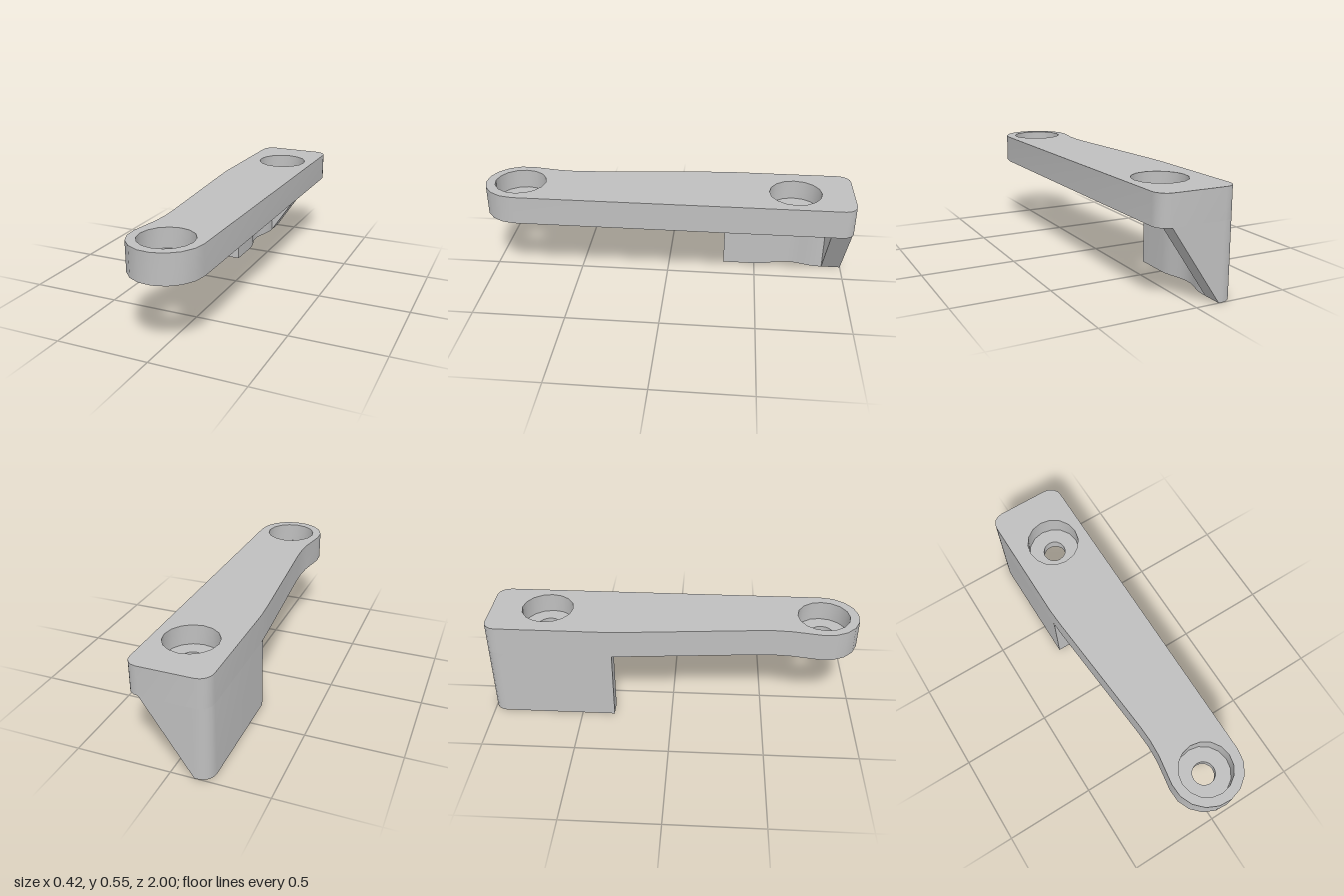
import * as THREE from 'three';
import { mergeGeometries, toCreasedNormals } from 'three/addons/utils/BufferGeometryUtils.js';

const PLATE_BOTTOM = 0.392, BORE_FLOOR = 0.443, PLATE_TOP = 0.548;
const LEFT = 0.207, RIGHT = -0.208, CORNER = 0.067, WALL_IN = -0.123;
const HOLE_X = 0.015, HOLES = [-0.69, 0.81], BORE_R = 0.14, HOLE_R = 0.06;

// Plan points are (x, -z), counter-clockwise seen from above
function arc(cx, cy, r, from, to, steps) {
  const pts = [];
  for (let i = 0; i <= steps; i++) {
    const a = THREE.MathUtils.degToRad(from + ((to - from) * i) / steps);
    pts.push(new THREE.Vector2(cx + r * Math.cos(a), cy + r * Math.sin(a)));
  }
  return pts;
}
const points = (list) => list.map(([x, y]) => new THREE.Vector2(x, y));
const circle = (z, r) => arc(HOLE_X, -z, r, 0, 360, 16).slice(0, -1);

// Upright band of faces along a closed plan outline
function band(pts, y0, y1, inward = false) {
  const pos = [];
  const loop = inward ? [...pts].reverse() : pts;
  loop.forEach((p, i) => {
    const q = loop[(i + 1) % loop.length];
    pos.push(p.x, y0, -p.y, q.x, y0, -q.y, q.x, y1, -q.y);
    pos.push(p.x, y0, -p.y, q.x, y1, -q.y, p.x, y1, -p.y);
  });
  const g = new THREE.BufferGeometry();
  g.setAttribute('position', new THREE.Float32BufferAttribute(pos, 3));
  return g;
}

// Level face with holes, facing up or down
function cap(pts, holes, y, down = false) {
  const shape = new THREE.Shape(pts);
  holes.forEach((h) => shape.holes.push(new THREE.Path(h)));
  const g = new THREE.ShapeGeometry(shape);
  if (down) g.index.array.reverse();
  g.rotateX(-Math.PI / 2).translate(0, y, 0);
  const flat = g.toNonIndexed();
  flat.deleteAttribute('uv');
  flat.deleteAttribute('normal');
  return flat;
}

const smooth = (parts) => toCreasedNormals(mergeGeometries(parts), 0.6);

export function createModel() {
  const group = new THREE.Group();
  const grey = new THREE.MeshStandardMaterial({ color: 0xbfbfbf });
  grey.name = 'grey';
  const add = (name, geometry) => {
    const mesh = new THREE.Mesh(geometry, grey);
    mesh.name = name;
    group.add(mesh);
  };

  // Tapered arm with a round front end and two counterbored holes
  const backRight = arc(RIGHT + CORNER, 1 - CORNER, CORNER, 90, 180, 4);
  const outline = [
    ...arc(LEFT - CORNER, 1 - CORNER, CORNER, 0, 90, 4),
    ...backRight,
    ...points([[RIGHT, 0.34], [-0.202, 0.24], [-0.145, -0.45], [-0.141, -0.54], [-0.146, -0.63]]),
    ...arc(0.0175, -0.81, 0.19, 172, 360, 9),
  ];
  const bores = HOLES.map((z) => circle(z, BORE_R));
  const drills = HOLES.map((z) => circle(z, HOLE_R));
  add('arm', smooth([
    band(outline, PLATE_BOTTOM, PLATE_TOP),
    cap(outline, bores, PLATE_TOP),
    cap(outline, drills, PLATE_BOTTOM, true),
  ]));
  HOLES.forEach((z, i) => add(i ? 'frontCounterbore' : 'backCounterbore', smooth([
    band(bores[i], BORE_FLOOR, PLATE_TOP, true),
    band(drills[i], PLATE_BOTTOM, BORE_FLOOR, true),
    cap(bores[i], [drills[i]], BORE_FLOOR),
  ])));

  // Side wall with a shallow scoop on its inner face beside the back hole
  const scoop = [];
  for (let i = 0; i <= 12; i++) {
    const t = i / 12;
    const depth = 0.018 * (1 - Math.cos(t * Math.PI * 2));
    scoop.push(new THREE.Vector2(WALL_IN - depth, 0.51 + 0.36 * t));
  }
  const wall = [
    ...points([[RIGHT, 0.32], [WALL_IN, 0.32]]),
    ...scoop,
    ...points([[WALL_IN, 1]]),
    ...backRight,
  ];
  add('sideWall', smooth([band(wall, 0, PLATE_BOTTOM), cap(wall, [], 0, true)]));

  // Triangular rib bracing the wall at the back
  const rib = new THREE.Shape(points([[WALL_IN, 0], [0.14, PLATE_BOTTOM], [WALL_IN, PLATE_BOTTOM]]));
  const ribGeometry = new THREE.ExtrudeGeometry(rib, { depth: 0.107, bevelEnabled: false });
  add('backRib', ribGeometry.translate(0, 0, -1));

  return group;
}
